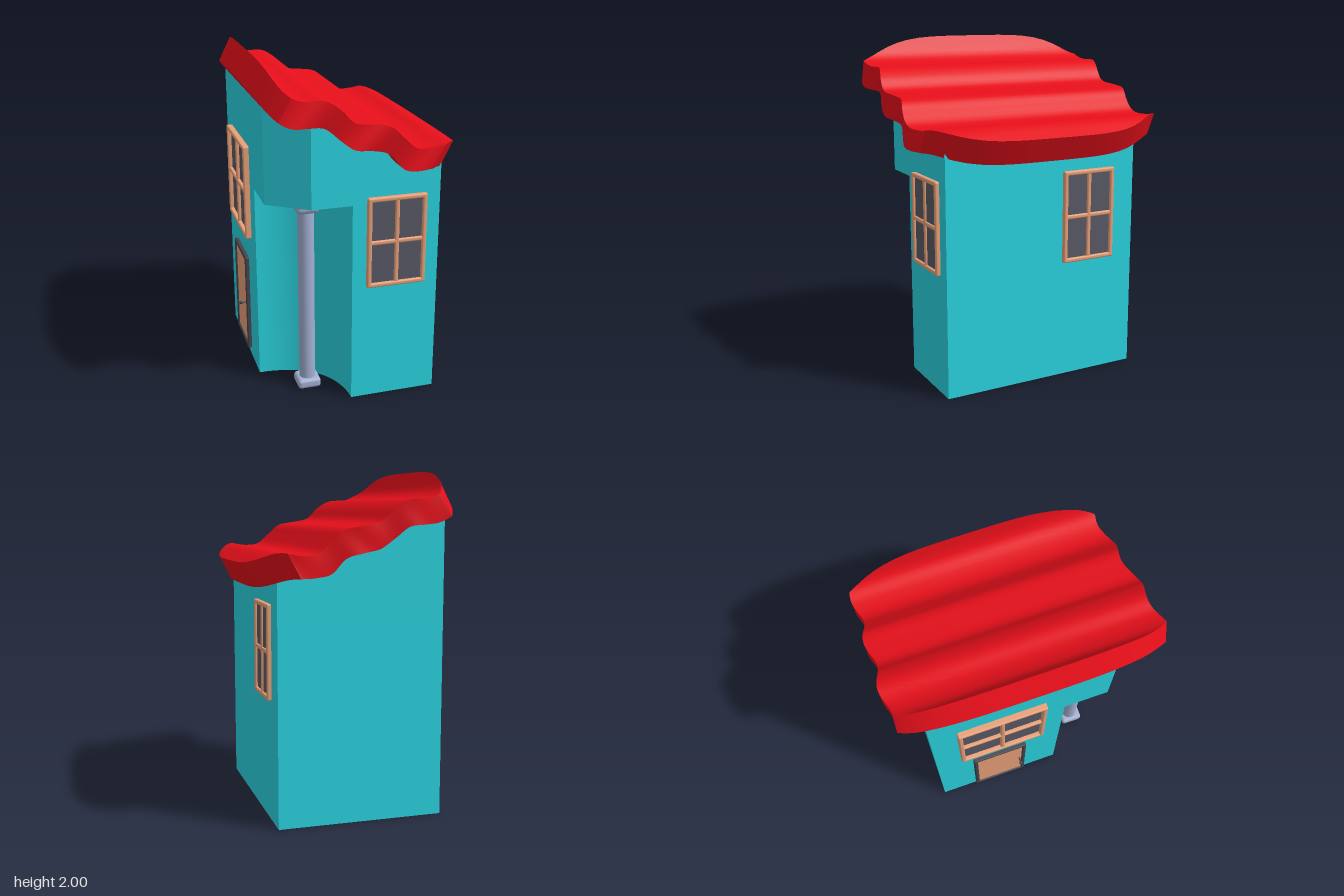
import * as THREE from 'three';
import { toCreasedNormals } from 'three/addons/utils/BufferGeometryUtils.js';
import { RoundedBoxGeometry } from 'three/addons/geometries/RoundedBoxGeometry.js';

const paint = (color) => new THREE.MeshStandardMaterial({ color });
const RED = paint(0xe60f1a), TEAL = paint(0x2ad4e0), TAN = paint(0xe9a078);
const GLASS = paint(0x5a5a66), STONE = paint(0xa3b0d2), DARK = paint(0x45454d);

function part(name, geometry, material, x = 0, y = 0, z = 0) {
  const mesh = new THREE.Mesh(geometry, material);
  mesh.name = name;
  mesh.position.set(x, y, z);
  return mesh;
}

function bar(name, w, h, d, material, x, y, z) {
  return part(name, new RoundedBoxGeometry(w, h, d, 2, Math.min(w, h, d) * 0.35), material, x, y, z);
}

// Extrudes a floor plan (shape y = -z) upwards
function extrudePlan(shape, y0, height) {
  const g = new THREE.ExtrudeGeometry(shape, { depth: height, bevelEnabled: false, curveSegments: 20 });
  return g.rotateX(-Math.PI / 2).translate(0, y0, 0);
}

const L = -0.53, R = 0.445, F = 0.64, B = -0.6, LEDGE = 1.21;

function createWalls() {
  const walls = new THREE.Group();
  walls.name = 'walls';

  // Lower storey with the curved porch recess in one front corner
  const lower = new THREE.Shape();
  lower.moveTo(L, -B);
  lower.lineTo(L, -0.21);
  lower.bezierCurveTo(-0.25, -0.21, -0.07, -0.36, -0.07, -F);
  lower.lineTo(R, -F);
  lower.lineTo(R, -B);
  lower.closePath();
  walls.add(part('lowerWalls', toCreasedNormals(extrudePlan(lower, 0, LEDGE), 0.6), TEAL));

  // Upper storey with a cut corner and a sloping top hidden in the roof
  const upper = new THREE.Shape([[L, B], [L, 0.48], [-0.305, F], [R, F], [R, B]]
    .map(([x, z]) => new THREE.Vector2(x, -z)));
  const g = extrudePlan(upper, LEDGE, 0.4);
  const p = g.attributes.position;
  for (let i = 0; i < p.count; i++) {
    if (p.getY(i) > LEDGE + 0.1) p.setY(i, 1.604 - 0.37 * p.getX(i));
  }
  g.computeVertexNormals();
  walls.add(part('upperWalls', g, TEAL));
  return walls;
}

function createRoof() {
  const curve = (pts) => new THREE.CatmullRomCurve3(pts.map(([x, y]) => new THREE.Vector3(x, y, 0)));
  const top = curve([[-0.53, 2], [-0.465, 1.885], [-0.37, 1.838], [-0.255, 1.832], [-0.175, 1.785],
    [-0.105, 1.715], [0, 1.692], [0.105, 1.672], [0.17, 1.615], [0.25, 1.548], [0.355, 1.538],
    [0.46, 1.55], [0.595, 1.48]]);
  const under = curve([[-0.6, 1.855], [-0.53, 1.76], [-0.45, 1.71], [-0.34, 1.695], [-0.255, 1.685],
    [-0.175, 1.62], [-0.1, 1.567], [0, 1.547], [0.1, 1.52], [0.18, 1.435], [0.27, 1.417],
    [0.395, 1.41], [0.525, 1.34]]);
  const N = 48, ROWS = 24, ring = 2 * (N + 1);
  const pos = [], idx = [];

  // Wavy sections along z, trimmed at both eaves towards the gable ends
  for (let r = 0; r <= ROWS; r++) {
    const t = Math.sin((r / ROWS - 0.5) * Math.PI);
    const trim = 0.11 * t ** 4;
    for (let k = 0; k < ring; k++) {
      const onTop = k <= N;
      const s = onTop ? k / N : (ring - 1 - k) / N;
      const v = (onTop ? top : under).getPoint(trim + s * (1 - 2 * trim));
      const ripple = 0.018 * Math.cos((v.x + 0.12) / 0.33 * 2 * Math.PI) * t ** 4;
      pos.push(v.x, v.y, 0.752 * t + ripple);
    }
  }
  for (let r = 0; r < ROWS; r++) {
    for (let k = 0; k < ring; k++) {
      const a = r * ring + k, b = r * ring + (k + 1) % ring;
      idx.push(a, a + ring, b, b, a + ring, b + ring);
    }
  }
  // Gable end faces
  const last = ROWS * ring;
  for (let k = 0; k < N; k++) {
    const m = ring - 1 - k;
    idx.push(k, k + 1, m, k + 1, m - 1, m);
    idx.push(last + k, last + m, last + k + 1, last + k + 1, last + m, last + m - 1);
  }
  const g = new THREE.BufferGeometry();
  g.setAttribute('position', new THREE.Float32BufferAttribute(pos, 3));
  g.setIndex(idx);
  return part('roof', toCreasedNormals(g, 0.7), RED);
}

// Four-pane window facing +z, standing proud of z = 0 by depth d
function createWindow(name, w, h, d) {
  const win = new THREE.Group();
  win.name = name;
  const f = 0.026;
  win.add(part('glass', new THREE.BoxGeometry(w - f, h - f, 0.02), GLASS));
  for (const s of [-1, 1]) {
    win.add(bar('frameSide', f, h, d * 2, TAN, s * (w - f) / 2, 0, 0));
    win.add(bar('frameRail', w, f, d * 2, TAN, 0, s * (h - f) / 2, 0));
  }
  win.add(bar('mullion', f, h - f, d * 1.7, TAN, 0, 0, 0));
  win.add(bar('crossbar', w - f, f, d * 1.7, TAN, 0, 0, 0));
  return win;
}

function createDoor() {
  const door = new THREE.Group();
  door.name = 'door';
  const w = 0.35, h = 0.635, f = 0.025;
  door.add(part('doorPanel', new THREE.BoxGeometry(w - f, h - f, 0.03), TAN));
  for (const s of [-1, 1]) {
    door.add(bar('doorFrameSide', f, h, 0.05, DARK, s * (w - f) / 2, 0, 0));
    door.add(bar('doorFrameRail', w, f, 0.05, DARK, 0, s * (h - f) / 2, 0));
  }
  const stem = new THREE.CylinderGeometry(0.005, 0.005, 0.05, 8).rotateX(Math.PI / 2);
  door.add(part('knobStem', stem, DARK, 0.135, -0.005, 0.03));
  door.add(part('knob', new THREE.SphereGeometry(0.011, 12, 8), DARK, 0.135, -0.005, 0.052));
  return door;
}

function createColumn() {
  const column = new THREE.Group();
  column.name = 'column';
  column.add(part('shaft', new THREE.CylinderGeometry(0.048, 0.048, LEDGE - 0.1, 20), STONE, 0, LEDGE / 2, 0));
  column.add(bar('base', 0.14, 0.06, 0.14, STONE, 0, 0.035, 0));
  column.add(bar('capital', 0.14, 0.085, 0.14, STONE, 0, LEDGE - 0.043, 0));
  column.position.set(-0.28, 0, 0.42);
  return column;
}

export function createModel() {
  const house = new THREE.Group();
  house.name = 'house';
  house.add(createWalls(), createRoof(), createColumn());

  // Openings on the front and both sides
  const place = (obj, x, y, z, turn) => {
    obj.position.set(x, y, z);
    obj.rotation.y = turn;
    house.add(obj);
  };
  place(createWindow('frontWindow', 0.35, 0.54, 0.025), 0.188, 0.98, F, 0);
  place(createWindow('leftWindow', 0.345, 0.55, 0.025), R, 0.98, -0.28, Math.PI / 2);
  place(createWindow('rightWindow', 0.53, 0.58, 0.036), L, 1.14, -0.18, -Math.PI / 2);
  place(createDoor(), L, 0.367, -0.195, -Math.PI / 2);
  return house;
}
